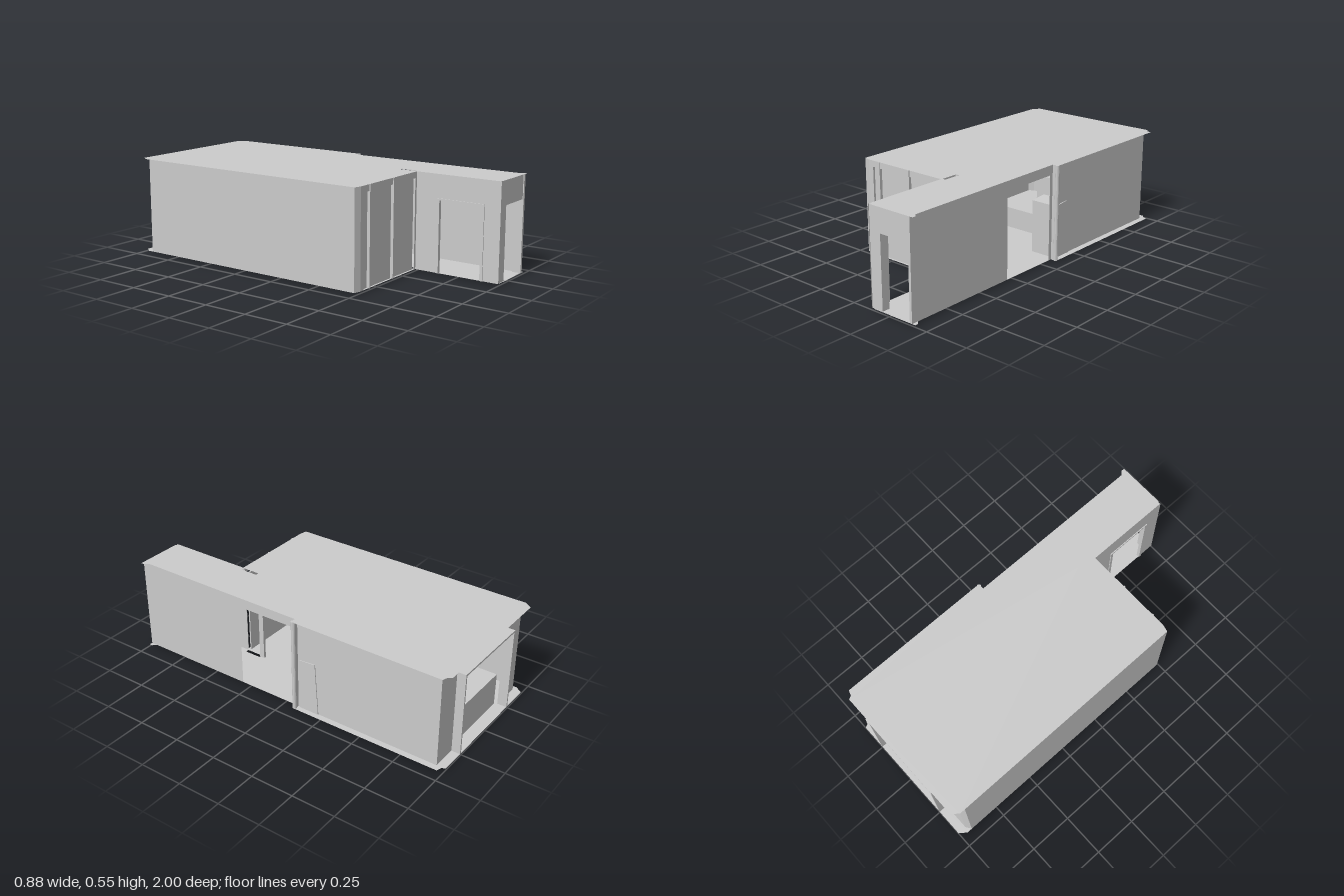
import * as THREE from 'three';

const FLOOR = 0.01, TOP = 0.55;
const material = new THREE.MeshStandardMaterial({ color: 0xcccccc, flatShading: true, side: THREE.DoubleSide });

const rect = (Type, a, b, c, d) =>
  new Type([[a, c], [b, c], [b, d], [a, d]].map(([x, y]) => new THREE.Vector2(x, y)));

export function createModel() {
  const model = new THREE.Group();

  function add(name, geometry) {
    const mesh = new THREE.Mesh(geometry, material);
    mesh.name = name;
    model.add(mesh);
    return mesh;
  }

  // Box given by its limits on each axis
  function block(name, x0, x1, y0, y1, z0, z1) {
    const mesh = add(name, new THREE.BoxGeometry(x1 - x0, y1 - y0, z1 - z0));
    mesh.position.set((x0 + x1) / 2, (y0 + y1) / 2, (z0 + z1) / 2);
    return mesh;
  }

  // Thin upright wall from one plan point to another; holes are [start, end, bottom, top] along it
  function wall(name, [x0, z0], [x1, z1], holes = []) {
    const shape = rect(THREE.Shape, 0, Math.hypot(x1 - x0, z1 - z0), FLOOR, TOP);
    holes.forEach(h => shape.holes.push(rect(THREE.Path, ...h)));
    const mesh = add(name, new THREE.ShapeGeometry(shape));
    mesh.position.set(x0, 0, z0);
    mesh.rotation.y = Math.atan2(z0 - z1, x1 - x0);
  }

  // Floor and ceiling share one plan with a narrow slot by the corridor
  const plan = new THREE.Shape([
    [-0.44, 0.49], [-0.44, -0.96], [-0.41, -1], [0.4, -1], [0.41, -0.98], [0.44, -0.97],
    [0.44, -0.09], [0.405, -0.08], [0.405, 0.96], [0.425, 0.98], [0.425, 1], [0.145, 1],
    [0.13, 0.96], [0.13, 0.5], [-0.4, 0.5],
  ].map(([x, z]) => new THREE.Vector2(x, z)));
  plan.holes.push(rect(THREE.Path, 0.133, 0.153, 0.39, 0.49));
  for (const [name, y] of [['floor', FLOOR], ['ceiling', TOP]]) {
    const slab = add(name, new THREE.ShapeGeometry(plan));
    slab.rotation.x = Math.PI / 2;
    slab.position.y = y;
  }

  // Room walls
  wall('leftWall', [-0.44, 0.49], [-0.44, -0.93]);
  wall('backCornerWall', [-0.44, -0.93], [-0.41, -0.95]);
  wall('backWall', [-0.41, -0.95], [0.405, -0.95], [[0.16, 0.67, 0.011, 0.49]]);
  wall('rightWall', [0.405, -0.95], [0.405, -0.08]);
  wall('frontCornerWall', [-0.44, 0.49], [-0.4, 0.5]);
  wall('frontWall', [-0.4, 0.5], [0.13, 0.5], [[0.03, 0.515, 0.011, 0.515]]);

  // Casing around the back opening
  block('backJamb', 0.25, 0.26, FLOOR, 0.49, -1, -0.945);
  block('backJamb', -0.25, -0.24, FLOOR, 0.49, -1, -0.945);
  block('backLintel', -0.25, 0.26, 0.48, 0.49, -1, -0.945);

  // Recessed front panels with mullions
  block('frontPanel', -0.37, 0.115, FLOOR, 0.515, 0.48, 0.488);
  for (const x of [-0.32, -0.1]) block('mullion', x - 0.005, x + 0.005, FLOOR, TOP, 0.488, 0.505);

  // Corridor walls with doorways
  wall('corridorRightWall', [0.405, 1], [0.405, -0.08], [[0.7, 1.05, 0.011, 0.495]]);
  wall('corridorLeftWall', [0.13, 0.49], [0.13, 1], [[0.15, 0.41, 0.011, 0.415]]);
  wall('corridorEndWall', [0.13, 0.995], [0.405, 0.995], [[0.07, 0.26, 0.011, 0.415]]);
  for (const z of [0.635, 0.9]) block('sideDoorJamb', 0.125, 0.145, FLOOR, 0.42, z - 0.008, z + 0.008);
  block('sideDoorHead', 0.125, 0.145, 0.41, 0.42, 0.635, 0.9);
  block('endJamb', 0.13, 0.2, FLOOR, TOP, 0.95, 0.995);
  block('endJamb', 0.39, 0.405, FLOOR, TOP, 0.95, 1);
  block('endLintel', 0.2, 0.39, 0.415, TOP, 0.95, 0.995);
  block('slotPost', 0.13, 0.145, FLOOR, TOP, 0.36, 0.39);
  block('slotBracket', 0.13, 0.147, 0.49, 0.5, 0.36, 0.5);
  block('ceilingRail', 0.13, 0.147, 0.39, 0.495, 0.12, 0.145);

  // Round post at the edge of the side opening
  const post = add('openingPost', new THREE.CylinderGeometry(0.012, 0.012, TOP - FLOOR, 12));
  post.position.set(0.43, (TOP + FLOOR) / 2, -0.08);
  block('openingTrim', 0.405, 0.43, FLOOR, TOP, -0.088, -0.072);

  // Upright cabinet by the opening, with a sloping back
  const side = new THREE.Shape([[0.1, 0], [0.22, 0], [0.2, 0.318], [0.1, 0.31]]
    .map(([z, y]) => new THREE.Vector2(z, y)));
  const cabinet = add('cabinet', new THREE.ExtrudeGeometry(side, { depth: 0.16, bevelEnabled: false }));
  cabinet.rotation.y = Math.PI / 2;
  cabinet.position.x = 0.25;

  // Furniture
  block('counter', 0.25, 0.4, FLOOR, 0.21, -0.77, -0.22);
  block('bench', -0.23, 0.2, FLOOR, 0.2, -0.93, -0.75);
  block('lowTable', -0.2, 0.15, FLOOR, 0.13, -0.55, -0.32);
  block('chair', -0.3, -0.2, FLOOR, 0.26, 0.21, 0.3);
  const table = add('roundTable', new THREE.CylinderGeometry(0.16, 0.16, 0.155, 24));
  table.position.set(-0.13, 0.0875, 0.13);

  // Shallow feet under the floor
  block('floorPad', -0.27, 0, 0.004, 0.009, -0.75, -0.22);

  return model;
}
